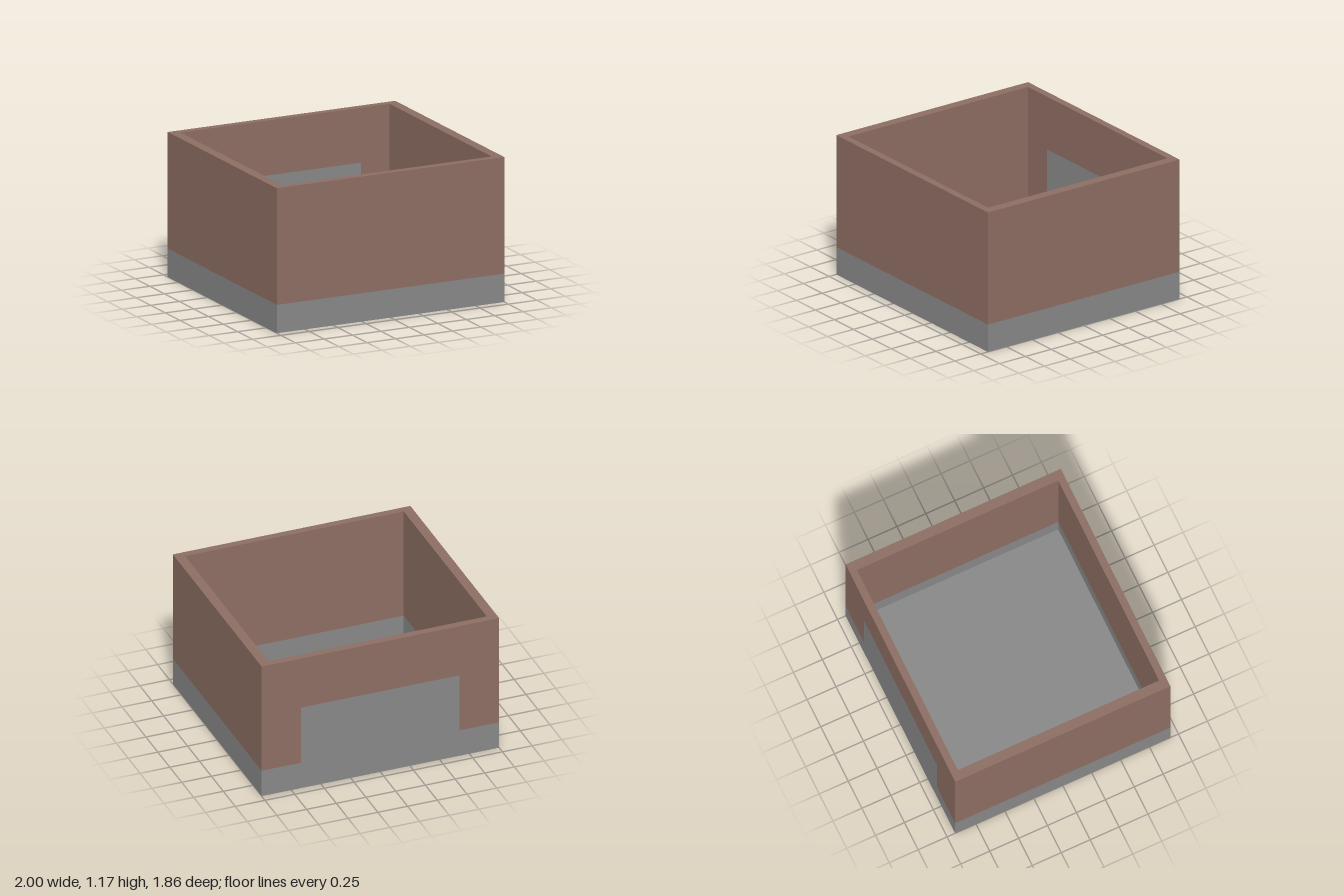
import * as THREE from 'three';
import { mergeGeometries } from 'three/addons/utils/BufferGeometryUtils.js';

const HEIGHT = 1.175, BAND = 0.23, FLOOR = 0.06;
const OUTER = { x: 1, z: 0.93 }, INNER = { x: 0.92, z: 0.87 };
const PANEL = { halfWidth: 0.667, top: 0.73 };

const grey = new THREE.MeshStandardMaterial({ color: 0x888888 });
grey.name = 'stone grey';
const brown = new THREE.MeshStandardMaterial({ color: 0x8d6e63 });
brown.name = 'clay brown';

const shapeOf = (points) => new THREE.Shape(points.map(([x, y]) => new THREE.Vector2(x, y)));

const rectangle = ({ x, z }) => shapeOf([[-x, -z], [x, -z], [x, z], [-x, z]]);

// One wall face: grey below, brown above, with a raised grey panel if asked for
function wallFace(halfWidth, bottom, hasPanel) {
  const { halfWidth: p, top } = PANEL;
  const seam = hasPanel
    ? [[halfWidth, BAND], [p, BAND], [p, top], [-p, top], [-p, BAND], [-halfWidth, BAND]]
    : [[halfWidth, BAND], [-halfWidth, BAND]];
  const lower = shapeOf([[-halfWidth, bottom], [halfWidth, bottom], ...seam]);
  const upper = shapeOf([...[...seam].reverse(), [halfWidth, HEIGHT], [-halfWidth, HEIGHT]]);
  const parts = [lower, upper].map((s) => {
    const geometry = new THREE.ShapeGeometry(s);
    geometry.clearGroups();
    return geometry;
  });
  return new THREE.Mesh(mergeGeometries(parts, true), [grey, brown]);
}

export function createModel() {
  const model = new THREE.Group();
  model.name = 'openBox';

  // Four walls, each with an outer and an inner face
  ['front', 'left', 'back', 'right'].forEach((side, i) => {
    const wall = new THREE.Group();
    wall.name = side + 'Wall';
    wall.rotation.y = i * Math.PI / 2;
    const [across, away] = i % 2 ? ['z', 'x'] : ['x', 'z'];
    const isBack = side === 'back';

    const outside = wallFace(OUTER[across], 0, isBack);
    outside.name = side + 'OuterFace';
    outside.position.z = OUTER[away];

    const inside = wallFace(INNER[across], FLOOR, isBack);
    inside.name = side + 'InnerFace';
    inside.position.z = INNER[away];
    inside.rotation.y = Math.PI;

    wall.add(outside, inside);
    model.add(wall);
  });

  // Rim, floor and underside
  const rimShape = rectangle(OUTER);
  rimShape.holes.push(rectangle(INNER));
  const addFlat = (name, shape, material, y, facing) => {
    const mesh = new THREE.Mesh(new THREE.ShapeGeometry(shape), material);
    mesh.name = name;
    mesh.rotation.x = -facing * Math.PI / 2;
    mesh.position.y = y;
    model.add(mesh);
  };
  addFlat('rim', rimShape, brown, HEIGHT, 1);
  addFlat('floor', rectangle(INNER), grey, FLOOR, 1);
  addFlat('underside', rectangle(OUTER), grey, 0, -1);

  return model;
}
